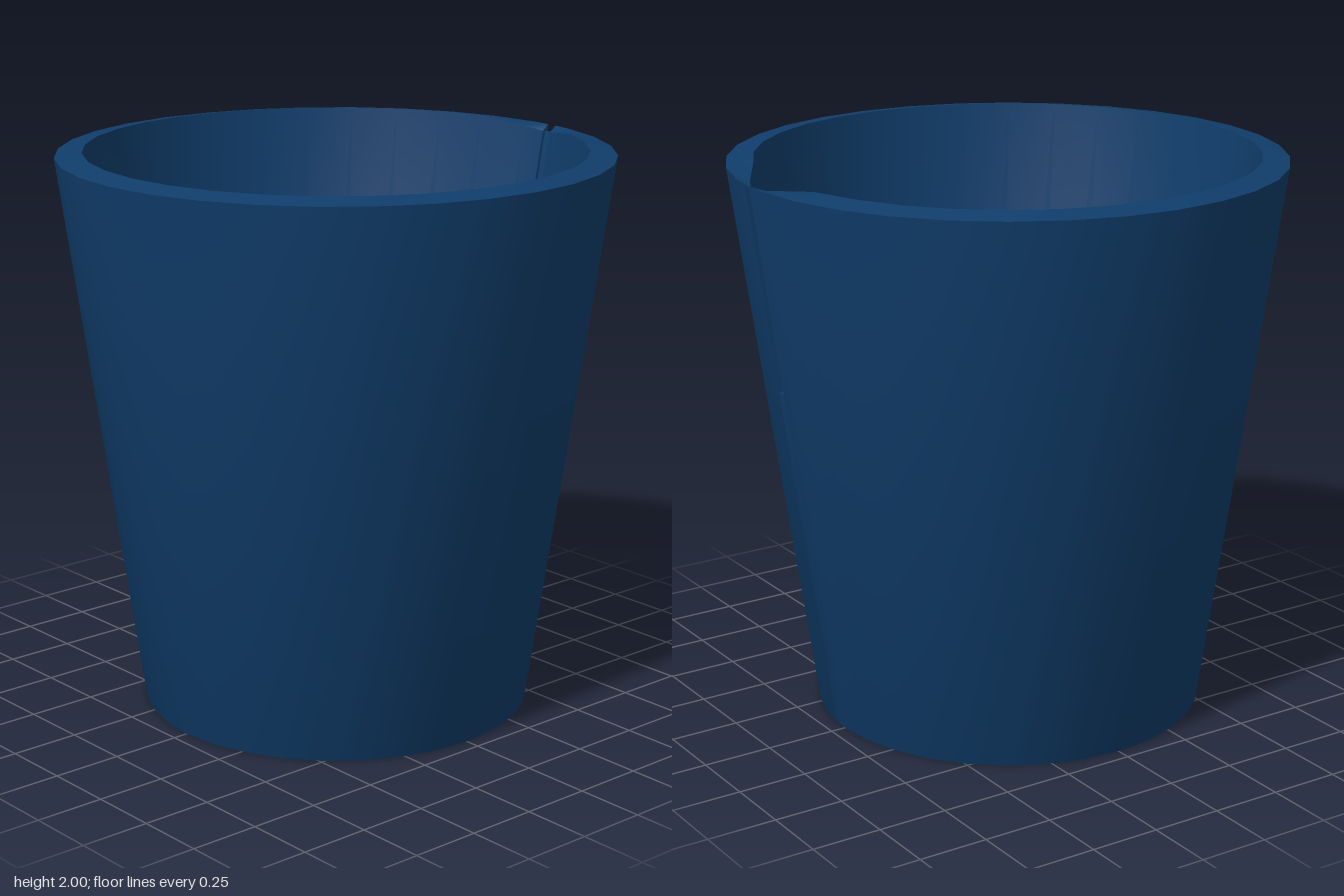
import * as THREE from 'three';
import { mergeGeometries, mergeVertices } from 'three/addons/utils/BufferGeometryUtils.js';

const SIDES = 32, STEP = (Math.PI * 2) / SIDES;
const SLOT = Math.PI - STEP / 2, HALF = 0.021, SLOT_Y = 1.25;
const RIM = 1.985, FLOOR = 0.08;

const outerR = y => 0.695 + 0.28 * y / RIM;

// The rim thins and dips towards the slot
function innerTop(phi) {
  const d = Math.abs(Math.atan2(Math.sin(phi - SLOT), Math.cos(phi - SLOT)));
  const k = Math.max(0, 1 - d / 0.3);
  return [0.88 + 0.075 * k, 2 - 0.04 * k];
}
function innerAt(phi, y) {
  const [r, top] = innerTop(phi);
  return [0.61 + (r - 0.61) * (y - FLOOR) / (top - FLOOR), y];
}

// Sweep a [radius, y] profile through a list of angles
function sweep(phis, profile) {
  const pos = [], idx = [];
  const n = profile(phis[0]).length;
  for (const phi of phis)
    for (const [r, y] of profile(phi)) pos.push(r * Math.sin(phi), y, r * Math.cos(phi));
  for (let i = 0; i < phis.length - 1; i++)
    for (let j = 0; j < n - 1; j++) {
      const a = i * n + j, b = a + n;
      idx.push(a, b, b + 1, a, b + 1, a + 1);
    }
  const g = new THREE.BufferGeometry();
  g.setAttribute('position', new THREE.Float32BufferAttribute(pos, 3));
  g.setIndex(idx);
  return g;
}

// Join pieces so they share smooth normals
function smooth(...parts) {
  const g = mergeVertices(mergeGeometries(parts), 1e-4);
  g.computeVertexNormals();
  return g;
}

export function createModel() {
  const group = new THREE.Group();
  const navy = new THREE.MeshStandardMaterial({ color: 0x103d6b, side: THREE.DoubleSide });
  navy.name = 'navy blue';
  const add = (name, geometry) => {
    const mesh = new THREE.Mesh(geometry, navy);
    mesh.name = name;
    group.add(mesh);
  };

  // Angles all the way round, from one slot edge to the other
  const around = [SLOT + HALF];
  for (let i = 0; i < SIDES; i++) around.push(Math.PI + i * STEP);
  around.push(SLOT - HALF + Math.PI * 2);
  const gap = [SLOT - HALF, SLOT + HALF];

  // Outside wall and base, with the wall filled in below the slot
  add('outerWall', smooth(
    sweep(around, () => [[0, 0], [outerR(0), 0], [outerR(RIM), RIM]]),
    sweep(gap, () => [[0, 0], [outerR(0), 0], [outerR(SLOT_Y), SLOT_Y]])));

  // Sloping rim
  add('rim', smooth(sweep(around, p => [[outerR(RIM), RIM], innerTop(p)])));

  // Inside wall and floor
  add('innerWall', smooth(
    sweep(around, p => [innerTop(p), innerAt(p, FLOOR), [0, FLOOR]]),
    sweep(gap, p => [innerAt(p, SLOT_Y), innerAt(p, FLOOR), [0, FLOOR]])));

  // Slot: bottom ledge, two cheeks and a recessed backing strip
  add('slotLedge', smooth(sweep(gap, p => [[outerR(SLOT_Y), SLOT_Y], innerAt(p, SLOT_Y)])));
  gap.forEach((p, i) => {
    const corners = [[outerR(SLOT_Y), SLOT_Y], [outerR(RIM), RIM], innerTop(p), innerAt(p, SLOT_Y)];
    const g = new THREE.BufferGeometry();
    g.setAttribute('position', new THREE.Float32BufferAttribute(
      corners.flatMap(([r, y]) => [r * Math.sin(p), y, r * Math.cos(p)]), 3));
    g.setIndex(i ? [0, 2, 1, 0, 3, 2] : [0, 1, 2, 0, 2, 3]);
    g.computeVertexNormals();
    add(i ? 'slotCheekRight' : 'slotCheekLeft', g);
  });
  add('slotBacking', smooth(sweep(gap, p => {
    const [r, y] = innerTop(p);
    return [[innerAt(p, SLOT_Y)[0] + 0.012, SLOT_Y], [r + 0.01, y]];
  })));
  return group;
}
